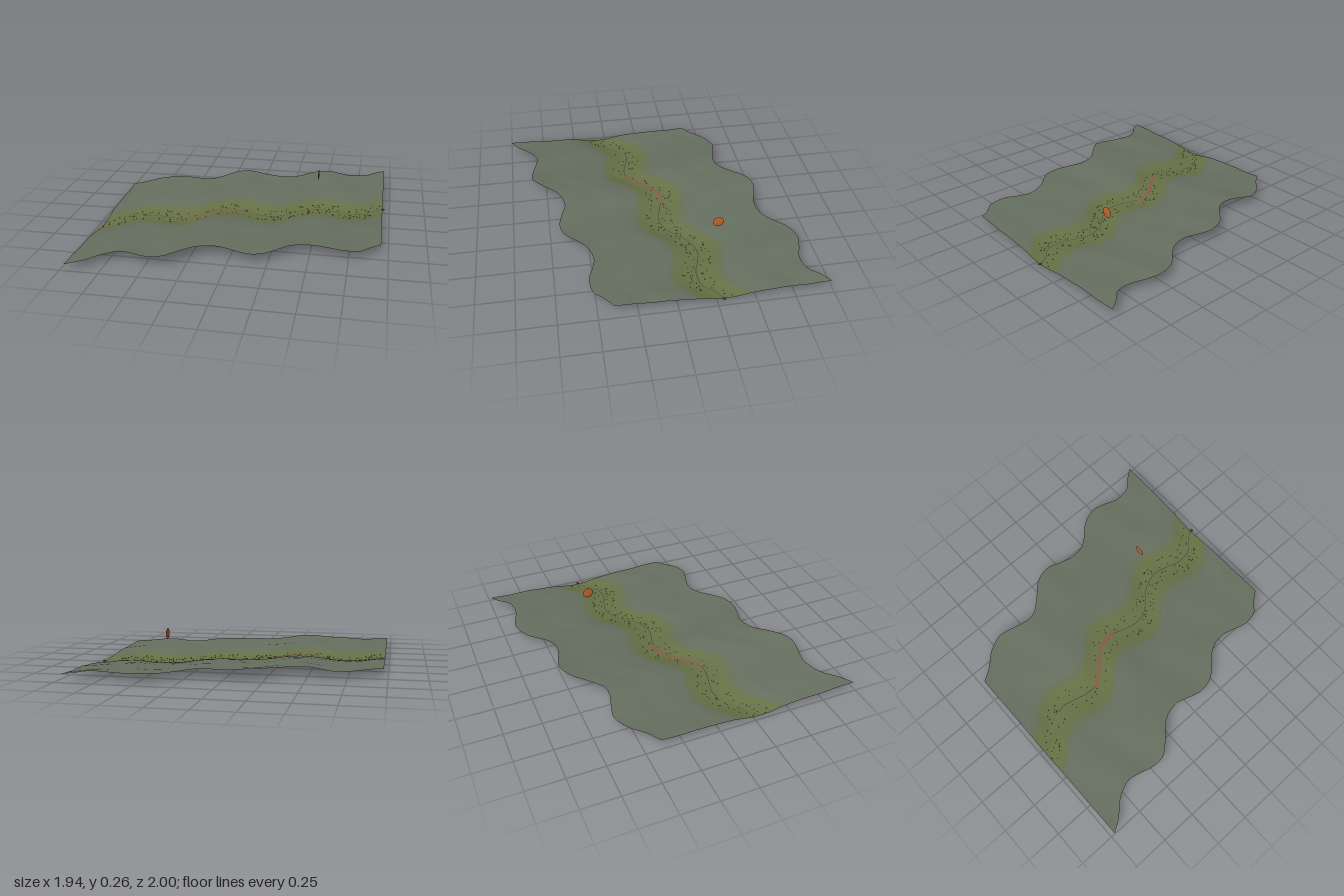
import * as THREE from 'three';

const mat = (name, color, side = THREE.FrontSide) => {
  const m = new THREE.MeshStandardMaterial({ color, side });
  m.name = name;
  return m;
};

// Smooth curve through [x, value] points (Hermite with finite-difference slopes)
function smooth(pts) {
  const n = pts.length;
  const slope = (i) => {
    const a = pts[Math.max(0, i - 1)], b = pts[Math.min(n - 1, i + 1)];
    return (b[1] - a[1]) / (b[0] - a[0]);
  };
  return (x) => {
    let i = 0;
    while (i < n - 2 && x > pts[i + 1][0]) i++;
    const [x0, y0] = pts[i], [x1, y1] = pts[i + 1], h = x1 - x0;
    const t = Math.min(1, Math.max(0, (x - x0) / h)), t2 = t * t, t3 = t2 * t;
    return (2 * t3 - 3 * t2 + 1) * y0 + (t3 - 2 * t2 + t) * h * slope(i)
      + (3 * t2 - 2 * t3) * y1 + (t3 - t2) * h * slope(i + 1);
  };
}

const X0 = -0.97, X1 = 0.95, HALF = 0.695;

// Course of the valley floor seen from above, and its height along x
const course = smooth([
  [-0.97, 0.305], [-0.88, 0.245], [-0.8, 0.165], [-0.68, 0.11], [-0.6, 0.122], [-0.48, 0.153],
  [-0.39, 0.145], [-0.3, 0.07], [-0.2, -0.028], [-0.08, -0.065], [0, -0.045], [0.12, -0.015],
  [0.22, -0.033], [0.28, -0.075], [0.38, -0.172], [0.5, -0.215], [0.6, -0.197], [0.7, -0.167],
  [0.82, -0.185], [0.87, -0.24], [0.95, -0.302],
]);
const floor = smooth([[-0.97, 0], [-0.8, 0.005], [-0.6, 0.016], [-0.3, 0.03], [-0.15, 0.029],
  [0, 0.019], [0.3, 0.012], [0.6, 0.01], [0.95, 0.007]]);
const bank = smooth([[0, 0], [0.06, 0.003], [0.13, 0.015], [0.2, 0.026], [0.35, 0.035],
  [0.5, 0.038], [0.7, 0.046]]);

// Ground height at x and sideways distance v from the valley floor
function height(x, v) {
  const away = Math.min(1, Math.abs(v) / 0.35);
  const bumps = 0.005 * Math.sin(9 * x + 11 * v) * Math.cos(14 * v - 3 * x)
    + 0.003 * Math.sin(19 * x - 7 * v);
  return floor(x) + bank(Math.abs(v)) + bumps * away * away;
}

// Sheet following the valley between x0 and x1, one row of points per offset in rows
function sheet(rows, x0, x1, cols, lift, materialOf = () => 0) {
  const pos = [], index = [], n = rows.length;
  const g = new THREE.BufferGeometry();
  for (let i = 0; i <= cols; i++) {
    const x = x0 + ((x1 - x0) * i) / cols;
    for (const v of rows) pos.push(x, height(x, v) + lift, course(x) + v);
  }
  for (let j = 0; j < n - 1; j++) {
    g.addGroup(index.length, cols * 6, materialOf((rows[j] + rows[j + 1]) / 2));
    for (let i = 0; i < cols; i++) {
      const a = i * n + j, c = a + n;
      index.push(a, a + 1, c, a + 1, c + 1, c);
    }
  }
  g.setAttribute('position', new THREE.Float32BufferAttribute(pos, 3));
  g.setIndex(index);
  g.computeVertexNormals();
  return g;
}

export function createModel() {
  const group = new THREE.Group();
  const hill = mat('hillGreen', 0x667060, THREE.DoubleSide);
  const verge = mat('vergeGreen', 0x677052, THREE.DoubleSide);
  const meadow = mat('meadowOlive', 0x687246, THREE.DoubleSide);
  const water = mat('creekDark', 0x464d3c, THREE.DoubleSide);
  const trail = mat('trailRed', 0x8c5a46, THREE.DoubleSide);
  const stone = mat('stoneGrey', 0x4c5340);
  const orange = mat('markerOrange', 0xc8662f);

  const add = (name, geometry, material) => {
    const mesh = new THREE.Mesh(geometry, material);
    mesh.name = name;
    group.add(mesh);
    return mesh;
  };

  // Rolling ground with an olive strip along the valley
  const side = [0.03, 0.07, 0.1, 0.135, 0.175, 0.24, 0.31, 0.38, 0.46, 0.54, 0.62, HALF];
  const rows = [...side.map((v) => -v).reverse(), 0, ...side];
  const zone = (v) => (Math.abs(v) < 0.135 ? 2 : Math.abs(v) < 0.175 ? 1 : 0);
  add('ground', sheet(rows, X0, X1, 64, 0, zone), [hill, verge, meadow]);

  // Narrow creek and the red stretch of trail on the valley floor
  add('creek', sheet([-0.003, 0.003], -0.72, X1, 120, 0.0015), water);
  add('trail', sheet([-0.012, 0, 0.012], -0.41, -0.05, 40, 0.0025), trail);

  // Small stones scattered on both banks
  let seed = 7;
  const rand = () => (seed = (seed * 16807) % 2147483647) / 2147483647;
  const stones = new THREE.InstancedMesh(new THREE.IcosahedronGeometry(1, 0), stone, 260);
  stones.name = 'stones';
  const m = new THREE.Matrix4();
  for (let i = 0; i < 260; i++) {
    const x = X0 + 0.01 + rand() * (X1 - X0 - 0.02);
    const v = (rand() < 0.5 ? -1 : 1) * (0.015 + 0.075 * rand());
    const r = 0.002 + 0.0015 * rand();
    m.makeScale(r, r * 0.7, r).setPosition(x, height(x, v) + 0.001, course(x) + v);
    stones.setMatrixAt(i, m);
  }
  group.add(stones);

  // Boulder at the creek mouth
  const boulder = add('boulder', new THREE.IcosahedronGeometry(0.012, 1), stone);
  boulder.scale.y = 0.4;
  boulder.position.set(0.955, 0.012, -0.295);

  // Flat round marker hovering over the back slope
  const marker = add('marker', new THREE.SphereGeometry(0.037, 32, 16), orange);
  marker.scale.x = 0.11;
  marker.position.set(0.47, 0.228, -0.358);

  return group;
}
